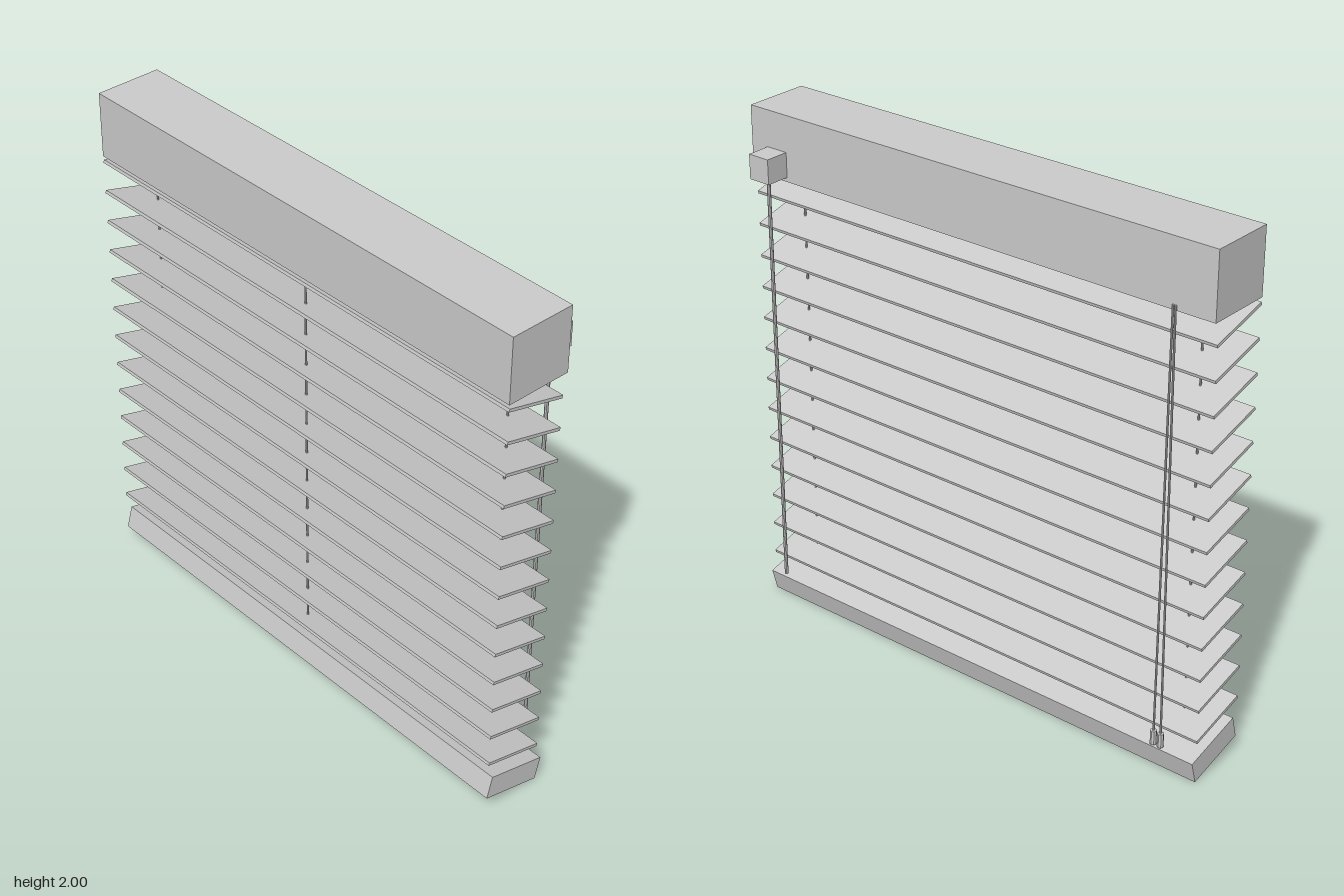
import * as THREE from 'three';

const material = new THREE.MeshStandardMaterial({ color: 0xcccccc, flatShading: true });
const TILT = -THREE.MathUtils.degToRad(15);
const SLATS = 13;

function part(parent, name, geometry, x, y, z) {
  const mesh = new THREE.Mesh(geometry, material);
  mesh.name = name;
  mesh.position.set(x, y, z);
  parent.add(mesh);
  return mesh;
}

function box(parent, name, w, h, d, x, y, z) {
  return part(parent, name, new THREE.BoxGeometry(w, h, d), x, y, z);
}

// Straight round cord or rod between two points
function rod(parent, name, from, to, radius) {
  const a = new THREE.Vector3(...from), b = new THREE.Vector3(...to);
  const dir = b.clone().sub(a);
  const mid = a.clone().add(b).multiplyScalar(0.5);
  const mesh = part(parent, name, new THREE.CylinderGeometry(radius, radius, dir.length(), 8), mid.x, mid.y, mid.z);
  mesh.quaternion.setFromUnitVectors(new THREE.Vector3(0, 1, 0), dir.normalize());
  return mesh;
}

export function createModel() {
  const blind = new THREE.Group();
  blind.name = 'venetianBlind';

  // Head rail and tilted bottom rail
  box(blind, 'headRail', 2, 0.25, 0.257, 0, 1.875, 0.0465);
  box(blind, 'bottomRail', 2, 0.09, 0.25, 0, 0.076, 0.043).rotation.x = TILT;

  // Evenly spaced tilted slats
  const slats = new THREE.Group();
  slats.name = 'slats';
  blind.add(slats);
  for (let i = 0; i < SLATS; i++) {
    box(slats, 'slat', 2, 0.012, 0.248, 0, 0.197 + i * 0.125, 0.054).rotation.x = TILT;
  }

  // Lift cords running through the slats
  for (const [x, z] of [[-0.872, 0.04], [0, 0.11], [0.872, 0.04]]) {
    rod(blind, 'liftCord', [x, 0.11, z], [x, 1.76, z], 0.004);
  }

  // Tilt mechanism and wand on the back
  box(blind, 'wandBracket', 0.09, 0.094, 0.095, 0.88, 1.814, -0.1275);
  rod(blind, 'tiltWand', [0.88, 0.14, -0.13], [0.88, 1.775, -0.13], 0.007);

  // Pair of pull cords with tassels, spreading slightly towards the bottom
  for (const side of [-1, 1]) {
    const x = -0.848 + side * 0.015;
    rod(blind, 'pullCord', [x, 0.14, -0.087], [-0.845 + side * 0.005, 1.77, -0.087], 0.004);
    part(blind, 'cordTassel', new THREE.CylinderGeometry(0.012, 0.012, 0.055, 8), x, 0.127, -0.087);
  }

  return blind;
}
